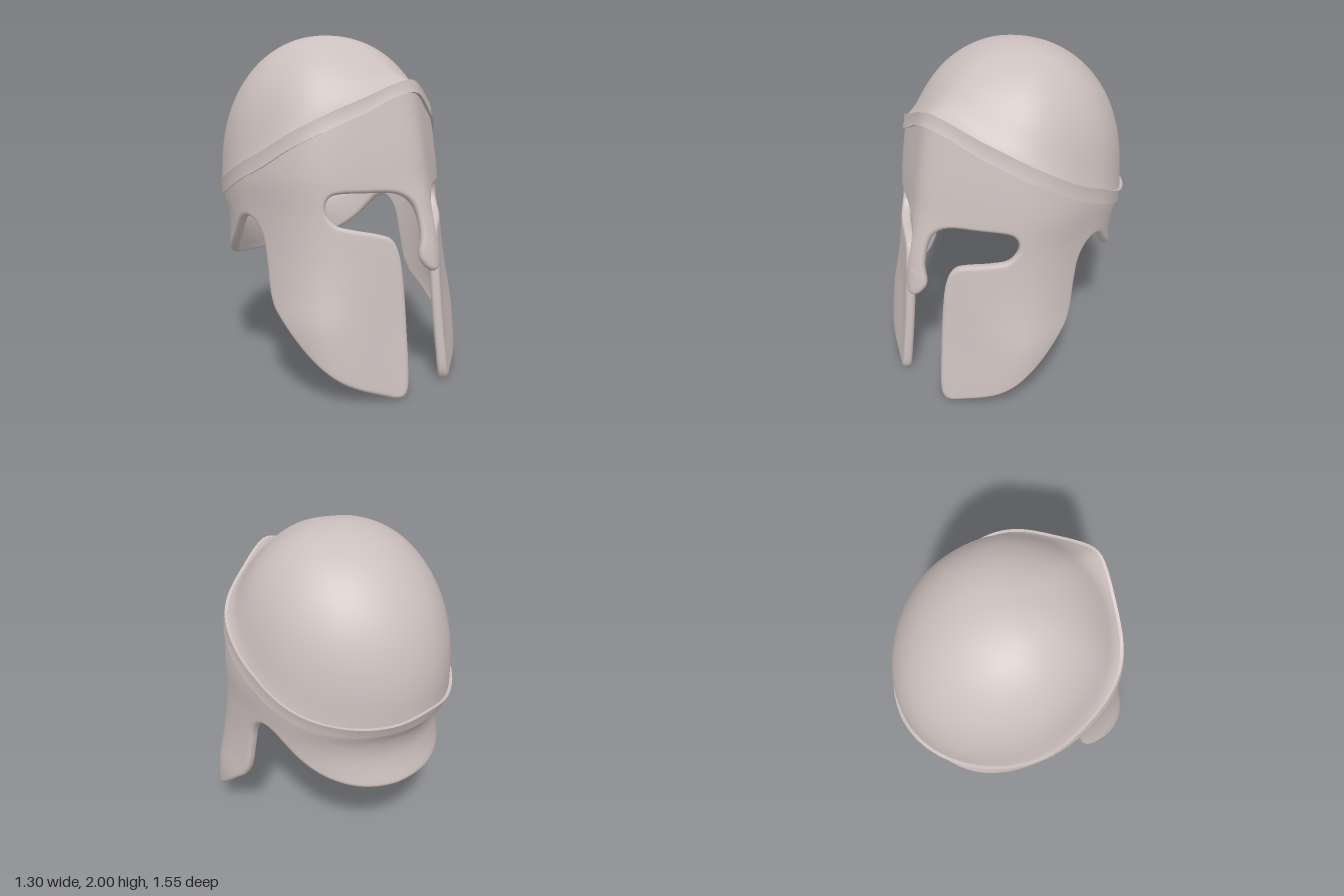
import * as THREE from 'three';
import { mergeVertices, toCreasedNormals } from 'three/addons/utils/BufferGeometryUtils.js';

const THICK = 0.06;

// Smooth lookup through [key, value] pairs with rising keys, flat at both ends
function table(pts) {
  const slope = (i) => (i <= 0 || i >= pts.length - 1) ? 0
    : (pts[i + 1][1] - pts[i - 1][1]) / (pts[i + 1][0] - pts[i - 1][0]);
  return (k) => {
    if (k <= pts[0][0]) return pts[0][1];
    if (k >= pts[pts.length - 1][0]) return pts[pts.length - 1][1];
    let i = 0;
    while (k > pts[i + 1][0]) i++;
    const h = pts[i + 1][0] - pts[i][0], t = (k - pts[i][0]) / h, t2 = t * t, t3 = t2 * t;
    return (2 * t3 - 3 * t2 + 1) * pts[i][1] + (t3 - 2 * t2 + t) * h * slope(i)
      + (3 * t2 - 2 * t3) * pts[i + 1][1] + (t3 - t2) * h * slope(i + 1);
  };
}

// Horizontal section of the shell by height
const width = table([[0, 0.6], [0.2, 0.622], [0.4, 0.635], [0.6, 0.62], [0.8, 0.614], [1, 0.62], [1.2, 0.637], [1.4, 0.625], [1.7, 0.6]]);
const frontZ = table([[-0.1, 0.86], [0, 0.85], [0.4, 0.797], [0.72, 0.77], [0.9, 0.752], [1.3, 0.7], [1.67, 0.627], [1.8, 0.6]]);
const sideZ = table([[0, 0.25], [0.4, 0.19], [0.8, 0], [1.2, -0.08]]);
const backZ = table([[0.6, -0.705], [0.65, -0.695], [0.75, -0.665], [0.85, -0.655], [0.95, -0.68], [1.05, -0.745], [1.12, -0.76]]);
const backFullness = table([[0.65, 0.62], [1.08, 0.49]]);
const noseLift = table([[0.75, 0.055], [1.25, 0]]);
// Brow band edges by position around the head (0 front, 1 side, 2 back)
const bandTop = table([[0, 1.735], [0.1, 1.705], [0.25, 1.64], [0.5, 1.55], [0.75, 1.445], [1, 1.29], [1.25, 1.165], [1.5, 1.11], [1.75, 1.1], [2, 1.125]]);
const bandLow = table([[0, 1.665], [0.1, 1.637], [0.25, 1.56], [0.5, 1.465], [0.75, 1.36], [1, 1.2], [1.25, 1.085], [1.5, 1.04], [1.75, 1.035], [2, 1.045]]);

const bez = (t, a, b, c, d) => {
  const s = 1 - t;
  return s * s * s * a + 3 * s * s * t * b + 3 * s * t * t * c + t * t * t * d;
};

// Point on the keeled oval section; u runs -2..2 with 0 at the front keel
function section(u, y) {
  let a = Math.abs(u), side = Math.sign(u);
  if (a > 2) { a = 4 - a; side = -side; }
  const w = width(y), zf = frontZ(y), zb = backZ(y), zs = sideZ(y);
  if (a <= 1) {
    const k = Math.hypot(a, 0.06 * (1 - a)); // softens the keel
    return new THREE.Vector3(side * bez(a, 0, 0.66 * w, w, w), y,
      bez(k, zf, zf - 0.43 * w, zs + 0.68 * (zf - zs), zs) + noseLift(y) * Math.exp(-((a / 0.12) ** 2)));
  }
  return new THREE.Vector3(side * bez(a - 1, w, w, backFullness(y) * w, 0), y,
    bez(a - 1, zs, zs + 0.55 * (zb - zs), zb, zb));
}

// Section point moved along the surface normal
function surf(u, y, d) {
  const e = 0.004;
  const tu = section(u + e, y).sub(section(u - e, y));
  const ty = section(u, y + e).sub(section(u, y - e));
  return section(u, y).addScaledVector(tu.cross(ty).normalize(), d);
}

// Find u on the left half from a known x (front part) or z
function solve(axis, value, y) {
  let lo = 0, hi = axis === 'x' ? 1 : 2;
  for (let i = 0; i < 40; i++) {
    const m = (lo + hi) / 2, p = section(m, y)[axis];
    if (axis === 'x' ? p < value : p > value) lo = m; else hi = m;
  }
  return (lo + hi) / 2;
}

function weld(geo) {
  geo.deleteAttribute('normal');
  geo.deleteAttribute('uv');
  return mergeVertices(geo, 1e-4);
}

// Move every vertex of a geometry by a rule
function bend(geo, fn) {
  const p = geo.attributes.position;
  for (let i = 0; i < p.count; i++) {
    const q = fn(p.getX(i), p.getY(i), p.getZ(i));
    p.setXYZ(i, q.x, q.y, q.z);
  }
  return geo;
}

const corners = (geo) => {
  const p = geo.attributes.position;
  return Array.from({ length: p.count }, (_, i) => new THREE.Vector3().fromBufferAttribute(p, i));
};

// Split long edges so that the flat plate can bend smoothly
function refine(geo, max) {
  const c0 = corners(geo.toNonIndexed()), out = [], stack = [];
  for (let i = 0; i < c0.length; i += 3) stack.push(c0.slice(i, i + 3));
  while (stack.length) {
    const [a, b, c] = stack.pop();
    const ab = a.distanceTo(b), bc = b.distanceTo(c), ca = c.distanceTo(a), l = Math.max(ab, bc, ca);
    if (l <= max) { out.push(a, b, c); continue; }
    const [q, r, s] = l === ab ? [a, b, c] : l === bc ? [b, c, a] : [c, a, b];
    const m = q.clone().add(r).multiplyScalar(0.5);
    stack.push([q, m, s], [m, r, s]);
  }
  return new THREE.BufferGeometry().setFromPoints(out);
}

// Flip edges within the flat faces until no sliver triangles remain
function relax(geo) {
  const pts = corners(geo), tris = [], n = pts.length;
  for (let i = 0; i < geo.index.count; i += 3) {
    const t = [0, 1, 2].map((k) => geo.index.getX(i + k));
    if (new Set(t).size === 3) tris.push(t);
  }
  const angle = (o, a, b) => pts[a].clone().sub(pts[o]).angleTo(pts[b].clone().sub(pts[o]));
  for (let pass = 0, flips = 1; pass < 40 && flips; pass++) {
    flips = 0;
    const owner = new Map(), done = new Set();
    tris.forEach((t, i) => t.forEach((a, k) => owner.set(a * n + t[(k + 1) % 3], i)));
    tris.forEach((t, i) => {
      for (let k = 0; k < 3 && !done.has(i); k++) {
        const a = t[k], b = t[(k + 1) % 3], c = t[(k + 2) % 3], j = owner.get(b * n + a);
        if (j === undefined || done.has(j)) continue;
        const d = tris[j].find((v) => v !== a && v !== b);
        if ([b, c, d].some((v) => Math.abs(pts[v].z - pts[a].z) > 1e-5)) continue;
        if (angle(c, a, b) + angle(d, a, b) < Math.PI + 1e-3) continue;
        tris[i] = [c, a, d];
        tris[j] = [d, b, c];
        done.add(i).add(j);
        flips++;
      }
    });
  }
  return geo.setIndex(tris.flat());
}

// Grid over u (around) and v (upwards), placed by fn
function grid(nu, nv, fn) {
  const g = weld(bend(new THREE.PlaneGeometry(1, 1, nu, nv), (x, y) => fn(x * 4, y + 0.5)));
  g.computeVertexNormals();
  return g;
}

// Face shell: nose guard, eye openings, cheek guards, ear notches, neck guard
function shellGeometry() {
  const half = [[2.04, 0.63], [1.96, 0.63], [1.86, 0.632]];
  const byZ = [[-0.6, 0.652], [-0.5, 0.687], [-0.4, 0.737], [-0.3, 0.812], [-0.2, 0.915], [-0.15, 0.957], [-0.09, 0.975],
    [-0.03, 0.95], [0.03, 0.86], [0.06, 0.72], [0.08, 0.61], [0.105, 0.535], [0.16, 0.46], [0.3, 0.335], [0.43, 0.22], [0.55, 0.12]];
  const byX = [[0.33, 0.035], [0.23, 0.003], [0.185, 0.04], [0.17, 0.18], [0.163, 0.4], [0.163, 0.6], [0.172, 0.78],
    [0.2, 0.875], [0.26, 0.908], [0.38, 0.937], [0.46, 0.965], [0.495, 1.03], [0.486, 1.1], [0.44, 1.13], [0.3, 1.133],
    [0.17, 1.127], [0.1, 1.09], [0.068, 1.02], [0.067, 0.9], [0.09, 0.79], [0.068, 0.73], [0.03, 0.7]];
  byZ.forEach(([z, y]) => half.push([solve('z', z, y), y]));
  byX.forEach(([x, y]) => half.push([solve('x', x, y), y]));
  const loop = [...half, [0, 0.695], ...half.slice().reverse().map(([u, y]) => [-u, y])];
  const edge = new THREE.SplineCurve(loop.map(([u, y]) => new THREE.Vector2(u, y))).getSpacedPoints(440);
  for (let i = 0; i <= 100; i++) { // upper rim, hidden under the band
    const u = -2.04 + 4.08 * i / 100, a = Math.min(2, Math.abs(u));
    edge.push(new THREE.Vector2(u, (bandTop(a) + bandLow(a)) / 2 + 0.01));
  }
  const bevel = 0.022;
  const plate = new THREE.ExtrudeGeometry(new THREE.Shape(edge), {
    depth: THICK - 2 * bevel, bevelEnabled: true, bevelThickness: bevel,
    bevelSize: bevel, bevelOffset: -bevel, bevelSegments: 4, steps: 1,
  });
  const fine = relax(weld(refine(relax(weld(plate)), 0.045)));
  bend(fine, (u, y, z) => surf(u, y, z - THICK + bevel)).computeVertexNormals();
  return fine;
}

// Skull dome: an egg that takes on the band's outline and flares out to meet it
function domePoint(u, v, inset) {
  const a = Math.abs(u), yb = bandTop(a) - inset * 0.5, zc = -0.06;
  const base = surf(u, bandTop(a), -0.005 - inset).setY(yb);
  const rx = 0.602 - inset, top = 2 - inset;
  const rz = (base.z > zc ? 0.735 : 0.695) - inset;
  const ang = Math.atan2(base.x / rx, (base.z - zc) / rz);
  const grow = 1 + 0.16 * Math.max(0, Math.cos(ang)) ** 2;
  const px = THREE.MathUtils.lerp(rx * Math.sin(ang), base.x * 0.98, 0.6);
  const pz = THREE.MathUtils.lerp(rz * Math.cos(ang), (base.z - zc) * grow, 0.6);
  const egg = (y) => {
    const h = Math.min(1, Math.max(0, (y - 1.2) / (top - 1.2)));
    return new THREE.Vector3(px * Math.pow(1 - Math.pow(h, 2.27), 1 / 2.27), y, zc + pz * Math.sqrt(1 - h * h));
  };
  const s = (1 - v) * (1 - v);
  const flare = base.clone().sub(egg(yb)).multiplyScalar(Math.pow(s, 10));
  return egg(top - (top - yb) * s).add(flare);
}

export function createModel() {
  const group = new THREE.Group();
  const mat = new THREE.MeshStandardMaterial({ color: 0xccc0be, side: THREE.DoubleSide });
  const add = (name, geo) => {
    const m = new THREE.Mesh(geo, mat);
    m.name = name;
    group.add(m);
  };
  add('faceAndNeckShell', shellGeometry());
  add('skullDome', grid(144, 60, (u, v) => domePoint(u, v, 0)));
  add('domeLining', grid(96, 40, (u, v) => domePoint(-u, v, THICK - 0.012)));

  // Brow band: [offset at front, offset at back, height fraction]; the lower lip fades to the back
  const lips = [[-0.03, -0.03, 0.02], [0.018, 0.004, 0], [0.01, 0.004, 0.5], [0.012, 0.014, 1], [-0.03, -0.03, 0.93]];
  const band = grid(144, lips.length - 1, (u, v) => {
    const [front, back, f] = lips[Math.round(v * (lips.length - 1))], a = Math.abs(u);
    return surf(u, THREE.MathUtils.lerp(bandLow(a), bandTop(a), f), THREE.MathUtils.lerp(front, back, a / 2));
  });
  add('browBand', toCreasedNormals(band, 0.7));
  return group;
}
